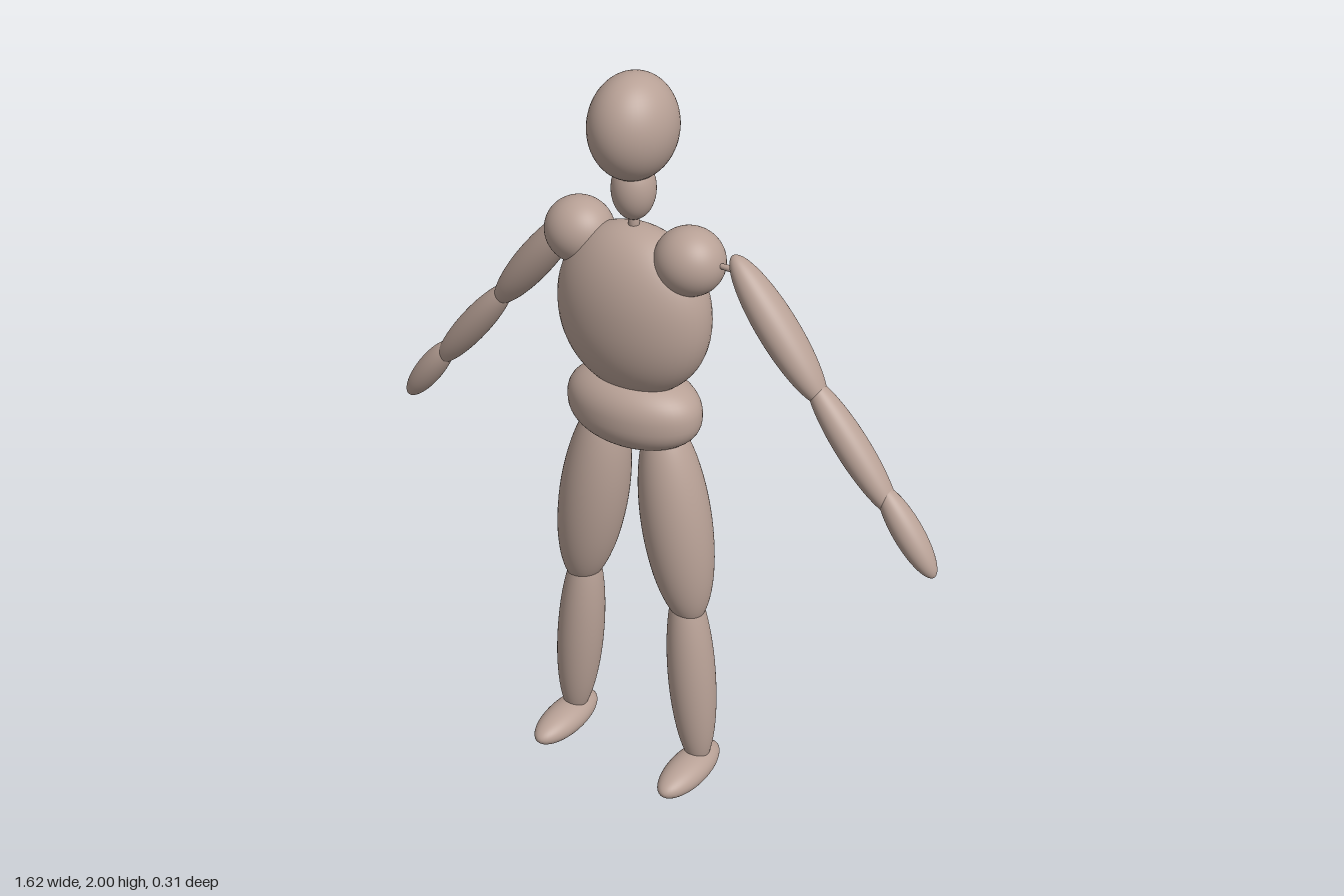
import * as THREE from 'three';

const skin = new THREE.MeshStandardMaterial({ color: 0xb8a196 });
skin.name = 'warm clay';

const BODY_X = -0.058; // trunk and legs sit a little to the side of the arms
const BODY_Z = -0.022;
const UP = new THREE.Vector3(0, 1, 0);

// Ellipsoid; squareness below 1 gives a fuller, more drum-like profile
function blob(name, [x, y, z], [rx, ry, rz], squareness = 1) {
  const profile = [];
  for (let i = 0; i <= 32; i++) {
    const a = -Math.PI / 2 + (Math.PI * i) / 32;
    const c = i === 0 || i === 32 ? 0 : Math.cos(a);
    const s = Math.sin(a);
    profile.push(new THREE.Vector2(c ** squareness, Math.sign(s) * Math.abs(s) ** squareness));
  }
  const geometry = new THREE.LatheGeometry(profile, 48);
  geometry.scale(rx, ry, rz);
  const mesh = new THREE.Mesh(geometry, skin);
  mesh.name = name;
  mesh.position.set(x, y, z);
  return mesh;
}

// Ellipsoid stretched between two points in the frontal plane
function limb(name, [x0, y0], [x1, y1], r, rz = r) {
  const from = new THREE.Vector3(x0, y0, BODY_Z);
  const to = new THREE.Vector3(x1, y1, BODY_Z);
  const mid = from.clone().lerp(to, 0.5);
  const mesh = blob(name, mid.toArray(), [r, from.distanceTo(to) / 2, rz]);
  mesh.quaternion.setFromUnitVectors(UP, to.sub(from).normalize());
  return mesh;
}

export function createModel() {
  const model = new THREE.Group();
  model.name = 'mannequin';

  // Head and trunk
  model.add(
    blob('head', [BODY_X, 1.868, BODY_Z], [0.106, 0.132, 0.123]),
    blob('neck', [BODY_X, 1.71, BODY_Z], [0.055, 0.08, 0.056]),
    limb('neckPin', [BODY_X, 1.67], [BODY_X, 1.58], 0.014),
    blob('chest', [BODY_X, 1.39, BODY_Z], [0.213, 0.226, 0.134], 0.96),
    blob('pelvis', [BODY_X, 1.117, BODY_Z], [0.19, 0.102, 0.123], 0.85)
  );

  for (const s of [1, -1]) {
    const side = s > 0 ? 'left' : 'right';
    const body = (x) => BODY_X + s * x;

    model.add(blob(side + 'Shoulder', [body(0.161), 1.56, BODY_Z], [0.09, 0.086, 0.085]));

    // Arm, mirrored about the centre plane
    const arm = new THREE.Group();
    arm.name = side + 'Arm';
    arm.add(
      limb('upperArm', [s * 0.222, 1.607], [s * 0.485, 1.285], 0.047, 0.054),
      limb('forearm', [s * 0.44, 1.345], [s * 0.692, 1.045], 0.04, 0.044),
      limb('hand', [s * 0.647, 1.115], [s * 0.805, 0.91], 0.036, 0.039)
    );
    model.add(arm);

    // Leg, mirrored about the trunk
    const leg = new THREE.Group();
    leg.name = side + 'Leg';
    leg.add(
      limb('thigh', [body(0.08), 1.11], [body(0.179), 0.505], 0.092, 0.093),
      limb('shin', [body(0.155), 0.64], [body(0.209), 0.035], 0.064, 0.066),
      blob('foot', [body(0.206), 0.048, 0.025], [0.055, 0.043, 0.133])
    );
    model.add(leg);
  }

  // Thin pin joining the left shoulder to the arm
  model.add(limb('shoulderPin', [0.17, 1.57], [0.26, 1.57], 0.008));

  return model;
}
